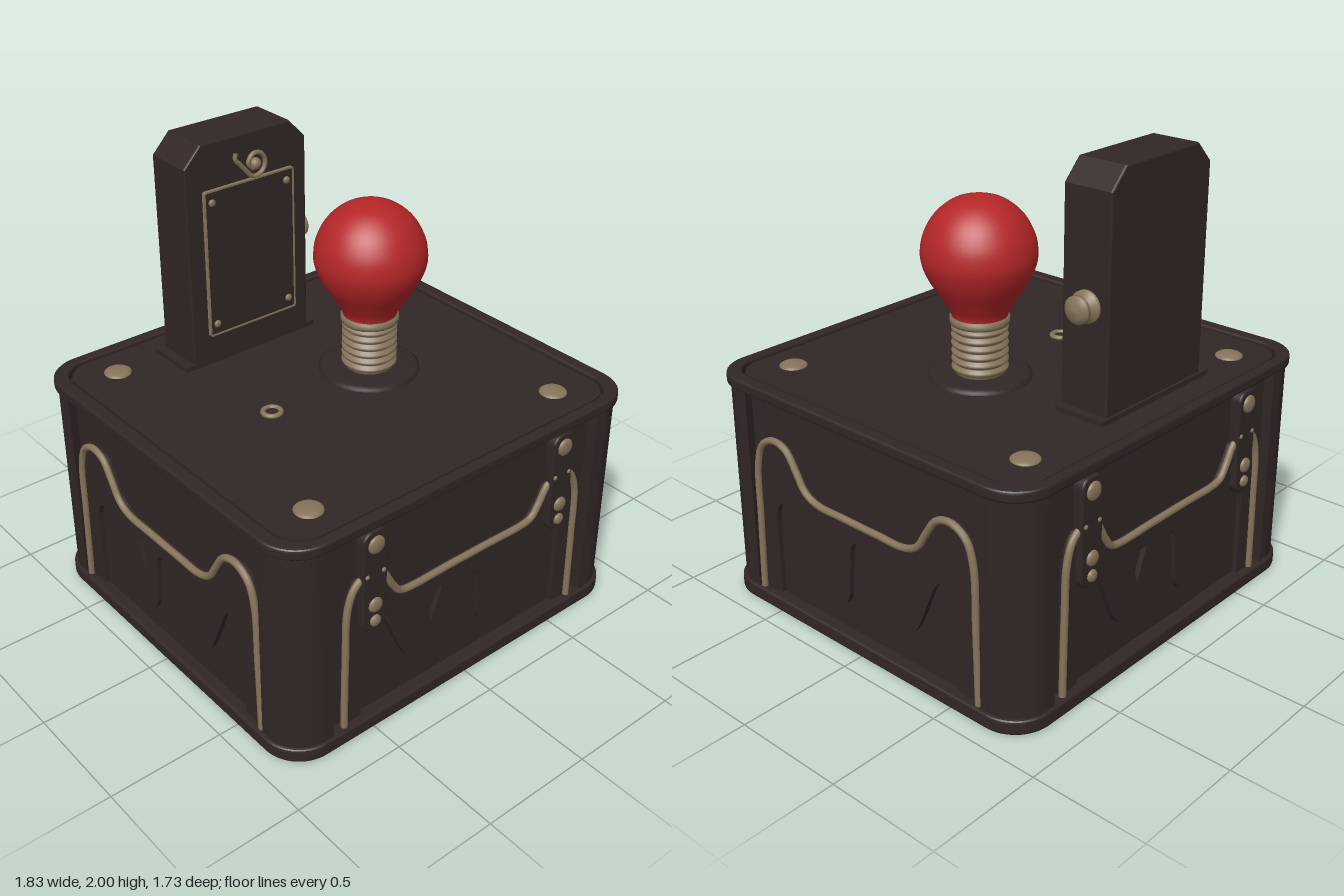
import * as THREE from 'three';

const flat = (name, color) => {
  const m = new THREE.MeshStandardMaterial({ color });
  m.name = name;
  return m;
};

function roundedRect(w, d, r, Type = THREE.Shape) {
  const s = new Type();
  s.moveTo(-w + r, -d);
  s.lineTo(w - r, -d);
  s.absarc(w - r, -d + r, r, -Math.PI / 2, 0);
  s.lineTo(w, d - r);
  s.absarc(w - r, d - r, r, 0, Math.PI / 2);
  s.lineTo(-w + r, d);
  s.absarc(-w + r, d - r, r, Math.PI / 2, Math.PI);
  s.lineTo(-w, -d + r);
  s.absarc(-w + r, -d + r, r, Math.PI, Math.PI * 1.5);
  return s;
}

const extrude = (shape, depth, bevel = 0) => {
  const g = new THREE.ExtrudeGeometry(shape, {
    depth: depth - 2 * bevel, curveSegments: 10, bevelEnabled: bevel > 0,
    bevelSize: bevel, bevelThickness: bevel, bevelOffset: -bevel, bevelSegments: 3,
  });
  return g.translate(0, 0, bevel);
};

// Extrudes a floor plan upwards from height y
const slab = (shape, y, height, bevel) =>
  extrude(shape, height, bevel).rotateX(-Math.PI / 2).translate(0, y, 0);

const lathe = (pts) => new THREE.LatheGeometry(pts.map(([r, y]) => new THREE.Vector2(r, y)), 32);

// Domed rivet with its base at the origin, pointing up y
const dome = (r, h) => lathe([[r, 0], [r, h * 0.35], [r * 0.85, h * 0.7], [r * 0.5, h * 0.93], [0, h]]);

export function createModel() {
  const root = new THREE.Group();
  const dark = flat('dark iron', 0x322626);
  const brass = flat('aged brass', 0x85745a);
  const red = flat('red glass', 0xb52628);

  const add = (parent, name, geo, mat, x = 0, y = 0, z = 0) => {
    const m = new THREE.Mesh(geo, mat);
    m.name = name;
    m.position.set(x, y, z);
    parent.add(m);
    return m;
  };

  // Case: inner walls, base, lid and rims
  add(root, 'walls', slab(roundedRect(0.86, 0.80, 0.14), 0.02, 0.95), dark);
  add(root, 'baseRim', slab(roundedRect(0.915, 0.857, 0.17), 0, 0.065, 0.012), dark);
  add(root, 'lid', slab(roundedRect(0.84, 0.795, 0.12), 0.96, 0.05), dark);
  const rim = roundedRect(0.915, 0.857, 0.17);
  rim.holes.push(roundedRect(0.852, 0.805, 0.13, THREE.Path));
  add(root, 'topRim', slab(rim, 0.972, 0.05, 0.012), dark);

  // Rounded corner posts
  for (const sx of [-1, 1]) for (const sz of [-1, 1]) {
    const post = new THREE.Shape();
    post.moveTo(0.70, 0.70);
    post.lineTo(0.90, 0.65);
    post.lineTo(0.90, 0.685);
    post.absarc(0.74, 0.685, 0.16, 0, Math.PI / 2);
    post.lineTo(0.70, 0.845);
    const pts = post.getPoints(10).map((p) => new THREE.Vector2(p.x * sx, p.y * sz));
    add(root, 'cornerPost', slab(new THREE.Shape(pts), 0.05, 0.93), dark);
  }

  // Side panels: raised arch with a drip-edged opening, and a brass pipe along its outline
  const mirrorPath = (half) => [...half, ...half.map(([x, y]) => [-x, y]).reverse()];
  const sideWire = [[-0.63, 0.06], [-0.62, 0.4], [-0.61, 0.66], [-0.575, 0.755], [-0.5, 0.795],
    [-0.425, 0.775], [-0.37, 0.70], [-0.32, 0.625], [-0.25, 0.593], [-0.1, 0.59]];
  const frontWire = [[-0.635, 0.06], [-0.63, 0.4], [-0.62, 0.64], [-0.585, 0.725], [-0.52, 0.76],
    [-0.45, 0.73], [-0.40, 0.65], [-0.365, 0.603], [-0.32, 0.59], [-0.1, 0.59]];
  const drip = [[-0.52, 0.07], [-0.52, 0.3], [-0.515, 0.46], [-0.47, 0.515], [-0.41, 0.49],
    [-0.36, 0.38], [-0.30, 0.25], [-0.22, 0.185], [-0.15, 0.17], [-0.09, 0.22], [-0.075, 0.35],
    [-0.06, 0.47], [-0.02, 0.5]];

  function sidePanel(name, half, stretch) {
    const g = new THREE.Group();
    g.name = name;
    const path = new THREE.CatmullRomCurve3(
      mirrorPath(half).map(([x, y]) => new THREE.Vector3(x, y, 0)), false, 'centripetal');
    add(g, 'brassPipe', new THREE.TubeGeometry(path, 120, 0.015, 10), brass, 0, 0, 0.027);
    const dripCurve = new THREE.SplineCurve(
      mirrorPath(drip).map(([x, y]) => new THREE.Vector2(x * stretch, y)));
    const plate = new THREE.Shape([
      ...path.getPoints(80).map((p) => new THREE.Vector2(p.x, p.y)),
      ...dripCurve.getPoints(90).reverse()]);
    for (const s of [-1, 1]) {
      plate.holes.push(new THREE.Path([[0.12, 0.495], [0.22, 0.495], [0.17, 0.35]]
        .map(([x, y]) => new THREE.Vector2(x * s * stretch, y))));
    }
    add(g, 'dripPanel', extrude(plate, 0.022), dark);
    root.add(g);
    return g;
  }

  const strapShape = roundedRect(0.06, 0.23, 0.045);
  for (const s of [-1, 1]) {
    const side = sidePanel(s > 0 ? 'leftPanel' : 'rightPanel', sideWire, 1);
    side.position.x = s * 0.86;
    side.rotation.y = s * Math.PI / 2;

    const face = sidePanel(s > 0 ? 'frontPanel' : 'backPanel', frontWire, 1.05);
    face.position.z = s * 0.80;
    if (s < 0) face.rotation.y = Math.PI;

    // Riveted straps holding the pipe
    for (const x of [-0.505, 0.505]) {
      add(face, 'strap', extrude(strapShape, 0.05, 0.008), dark, x, 0.73, 0);
      for (const [y, r] of [[0.9, 0.038], [0.62, 0.032], [0.545, 0.025]]) {
        add(face, 'strapRivet', dome(r, 0.018).rotateX(Math.PI / 2), brass, x, y, 0.049);
      }
      for (const dx of [-0.04, 0.04]) {
        add(face, 'strapPin', dome(0.01, 0.008).rotateX(Math.PI / 2), brass, x + dx, 0.765, 0.049);
      }
    }
  }

  // Lid bolts and a small socket
  for (const x of [-0.655, 0.645]) for (const z of [-0.645, 0.645]) {
    add(root, 'lidBolt', dome(0.058, 0.018), brass, x, 1.008, z);
  }
  add(root, 'socketRing', new THREE.TorusGeometry(0.037, 0.011, 10, 24).rotateX(Math.PI / 2),
    brass, -0.35, 1.015, 0.03);
  add(root, 'socketHole', new THREE.CylinderGeometry(0.03, 0.03, 0.008, 20), dark, -0.35, 1.012, 0.03);

  // Bulb on a threaded base
  const lamp = new THREE.Group();
  lamp.name = 'lamp';
  lamp.position.set(0.195, 0, 0);
  root.add(lamp);
  add(lamp, 'lampFoot', lathe([[0.215, 1.0], [0.215, 1.02], [0.2, 1.03], [0.13, 1.03], [0, 1.03]]), dark);
  const thread = [[0.1, 1.02]];
  for (let i = 0; i < 6; i++) {
    const y = 1.04 + i * 0.034;
    thread.push([0.103, y], [0.117, y + 0.01], [0.117, y + 0.02], [0.103, y + 0.03]);
  }
  add(lamp, 'threadedBase', lathe(thread), brass);
  add(lamp, 'collar', lathe([[0.1, 1.24], [0.12, 1.243], [0.123, 1.255], [0.123, 1.272], [0.11, 1.28], [0, 1.28]]), brass);
  const bulb = new THREE.SplineCurve([[0.113, 1.27], [0.122, 1.3], [0.155, 1.355], [0.2, 1.425],
    [0.228, 1.49], [0.235, 1.545], [0.222, 1.615], [0.18, 1.69], [0.115, 1.745], [0.05, 1.768], [0, 1.771]]
    .map(([r, y]) => new THREE.Vector2(r, y)));
  add(lamp, 'bulb', new THREE.LatheGeometry(bulb.getPoints(40), 40), red);

  // Tower with chamfered top
  const tower = new THREE.Group();
  tower.name = 'tower';
  root.add(tower);
  const outline = new THREE.Shape([[-0.392, 1.0], [0.217, 1.0], [0.217, 1.915], [0.135, 2.0],
    [-0.31, 2.0], [-0.392, 1.915]].map(([x, y]) => new THREE.Vector2(x, y)));
  add(tower, 'towerBody', extrude(outline, 0.225, 0.008), dark, 0, 0, -0.675);
  add(tower, 'towerPlinth', new THREE.BoxGeometry(0.69, 0.03, 0.235), dark, -0.09, 1.017, -0.57);

  // Door plate with a thin brass frame and corner screws
  const frame = roundedRect(0.228, 0.328, 0.01);
  frame.holes.push(roundedRect(0.221, 0.321, 0.008, THREE.Path));
  add(tower, 'doorPlate', new THREE.BoxGeometry(0.445, 0.645, 0.014), dark, -0.085, 1.475, -0.445);
  add(tower, 'doorFrame', extrude(frame, 0.018), brass, -0.085, 1.475, -0.452);
  for (const x of [-0.275, 0.105]) for (const y of [1.2, 1.75]) {
    add(tower, 'doorScrew', dome(0.016, 0.012).rotateX(Math.PI / 2), brass, x, y, -0.438);
  }

  // Curled ornament above the door
  const curl = [[-0.145, 1.93], [-0.147, 1.9], [-0.125, 1.875], [-0.1, 1.845], [-0.06, 1.808],
    [-0.015, 1.82], [0.002, 1.86], [-0.02, 1.9], [-0.06, 1.905], [-0.083, 1.87], [-0.06, 1.84]];
  add(tower, 'curl', new THREE.TubeGeometry(new THREE.CatmullRomCurve3(
    curl.map(([x, y]) => new THREE.Vector3(x, y, 0))), 70, 0.01, 8), brass, 0, 0, -0.443);
  add(tower, 'curlBead', new THREE.SphereGeometry(0.026, 16, 12), brass, -0.048, 1.86, -0.445);

  // Side knob
  const knob = lathe([[0.065, 0], [0.065, 0.018], [0.04, 0.024], [0.036, 0.04], [0.056, 0.05],
    [0.056, 0.066], [0.035, 0.08], [0, 0.086]]).rotateZ(-Math.PI / 2);
  add(tower, 'knob', knob, brass, 0.216, 1.46, -0.57);

  return root;
}
